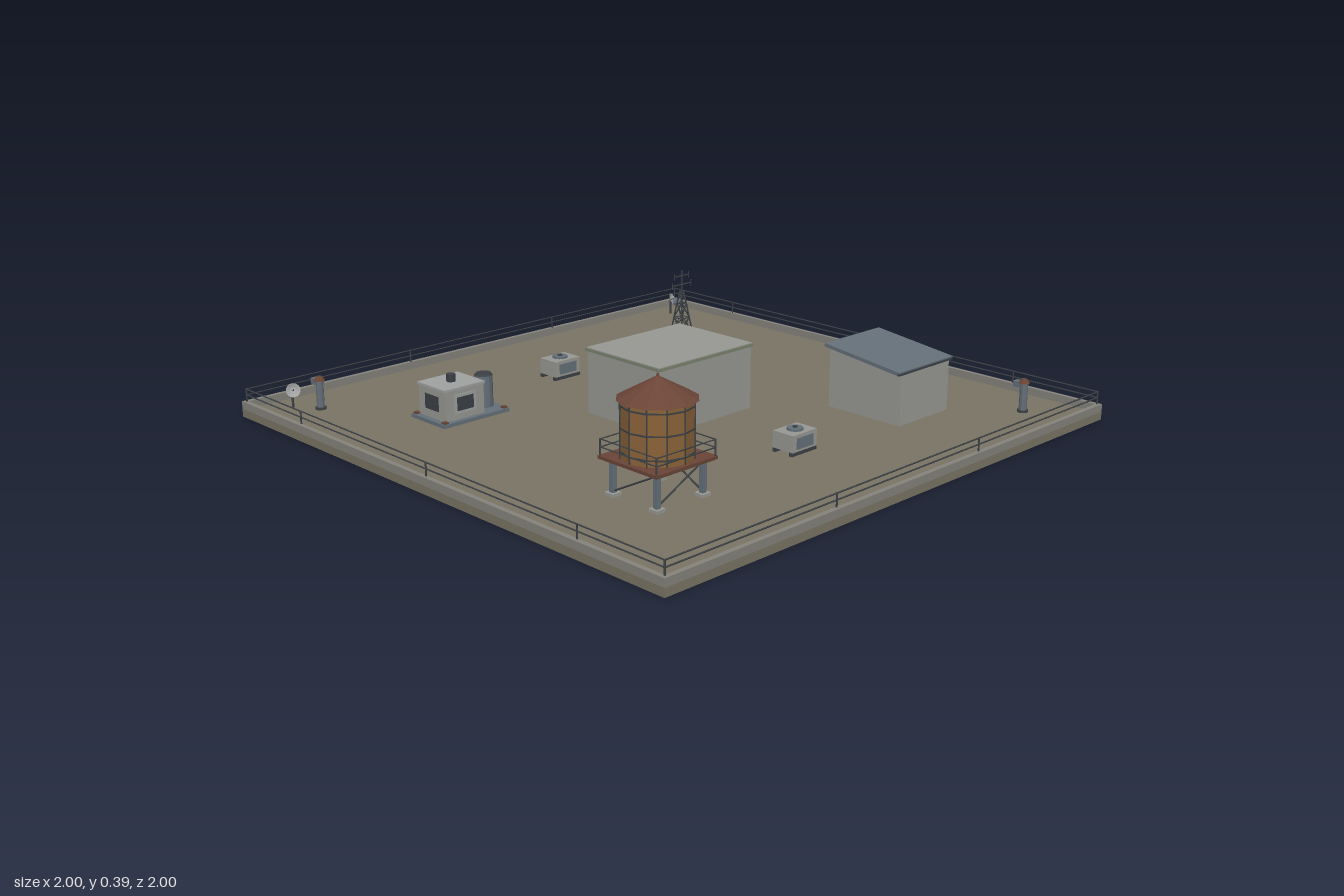
import * as THREE from 'three';

const mat = (name, color) => Object.assign(new THREE.MeshStandardMaterial({ color, flatShading: true, side: THREE.DoubleSide }), { name });

export function createModel() {
  const M = {
    deck: mat('deck gravel', 0x7a7464),
    concrete: mat('concrete grey', 0x989894),
    blue: mat('blue grey metal', 0x65707a),
    dark: mat('dark metal', 0x3c4146),
    wood: mat('tank wood', 0x8a6238),
    rust: mat('rusty red', 0x6b4537),
    trim: mat('green grey trim', 0x7b8470),
    steel: mat('pale steel', 0xa0a2a2),
    parapet: mat('parapet stone', 0x85837c),
  };
  const root = new THREE.Group();
  root.name = 'rooftop';
  const D = 0.027; // deck height

  const group = (name, x, y, z, parent = root) => {
    const g = new THREE.Group();
    g.name = name;
    g.position.set(x, y, z);
    parent.add(g);
    return g;
  };
  const add = (parent, name, geo, m, x, y, z) => {
    const mesh = new THREE.Mesh(geo, m);
    mesh.name = name;
    mesh.position.set(x, y, z);
    parent.add(mesh);
    return mesh;
  };
  // box given by its bottom centre
  const box = (p, name, m, w, h, d, x, y, z) => add(p, name, new THREE.BoxGeometry(w, h, d), m, x, y + h / 2, z);
  const cyl = (p, name, m, r0, r1, h, x, y, z, n = 12) => add(p, name, new THREE.CylinderGeometry(r1, r0, h, n), m, x, y + h / 2, z);
  // thin bar between two points
  const bar = (p, name, m, a, b, r) => {
    const A = new THREE.Vector3(...a), B = new THREE.Vector3(...b);
    const dir = B.clone().sub(A), mid = A.clone().add(B).multiplyScalar(0.5);
    const mesh = add(p, name, new THREE.CylinderGeometry(r, r, dir.length(), 5), m, mid.x, mid.y, mid.z);
    mesh.quaternion.setFromUnitVectors(new THREE.Vector3(0, 1, 0), dir.normalize());
  };
  const corners = [[1, 1], [1, -1], [-1, -1], [-1, 1]];

  // Slab, parapet and perimeter railing
  box(root, 'slab', M.deck, 2, D, 2, 0, 0, 0);
  for (const s of [-1, 1]) {
    box(root, 'parapet', M.parapet, 2, 0.026, 0.016, 0, D, s * 0.992);
    box(root, 'parapet', M.parapet, 0.016, 0.026, 1.968, s * 0.992, D, 0);
    for (const y of [0.075, 0.095]) {
      bar(root, 'rail', M.dark, [-0.988, y, s * 0.988], [0.988, y, s * 0.988], 0.0025);
      bar(root, 'rail', M.dark, [s * 0.988, y, -0.988], [s * 0.988, y, 0.988], 0.0025);
    }
    for (const t of [-0.988, -0.33, 0.33, 0.988]) bar(root, 'railPost', M.dark, [t, 0.05, s * 0.988], [t, 0.097, s * 0.988], 0.003);
    for (const t of [-0.66, 0, 0.66]) bar(root, 'railPost', M.dark, [s * 0.988, 0.05, t], [s * 0.988, 0.097, t], 0.003);
  }

  // Central building, door and window at the back
  const hall = group('centralBuilding', -0.003, D, -0.002);
  box(hall, 'walls', M.concrete, 0.416, 0.213, 0.334, 0, 0, 0);
  box(hall, 'roofTrim', M.trim, 0.43, 0.01, 0.346, 0, 0.212, 0);
  box(hall, 'roofTop', M.concrete, 0.424, 0.003, 0.34, 0, 0.221, 0);
  box(hall, 'door', M.blue, 0.12, 0.145, 0.006, 0.003, 0, -0.168);
  box(hall, 'window', M.blue, 0.1, 0.065, 0.006, 0.13, 0.075, -0.168);

  // Water tower
  const tower = group('waterTower', -0.57, 0, 0.53);
  const H = 0.09;
  box(tower, 'platform', M.rust, 0.24, 0.01, 0.24, 0, 0.137, 0);
  cyl(tower, 'tank', M.wood, 0.108, 0.108, 0.173, 0, 0.147, 0);
  cyl(tower, 'tankRoof', M.rust, 0.12, 0.004, 0.064, 0, 0.318, 0);
  cyl(tower, 'finial', M.rust, 0.006, 0.003, 0.012, 0, 0.378, 0, 6);
  for (const y of [0.165, 0.235, 0.3]) cyl(tower, 'hoop', M.dark, 0.11, 0.11, 0.005, 0, y, 0);
  for (let i = 0; i < 12; i++) {
    const a = i * Math.PI / 6;
    bar(tower, 'stave', M.dark, [0.109 * Math.sin(a), 0.147, 0.109 * Math.cos(a)], [0.109 * Math.sin(a), 0.32, 0.109 * Math.cos(a)], 0.0025);
  }
  corners.forEach(([x, z], i) => {
    const [x2, z2] = corners[(i + 1) % 4];
    box(tower, 'leg', M.blue, 0.016, 0.11, 0.016, x * H, D, z * H);
    box(tower, 'foot', M.concrete, 0.034, 0.01, 0.034, x * H, D, z * H);
    bar(tower, 'brace', M.dark, [x * H, 0.04, z * H], [x2 * H, 0.132, z2 * H], 0.003);
    bar(tower, 'platformPost', M.dark, [x * 0.115, 0.147, z * 0.115], [x * 0.115, 0.197, z * 0.115], 0.003);
    for (const y of [0.172, 0.196]) bar(tower, 'platformRail', M.dark, [x * 0.115, y, z * 0.115], [x2 * 0.115, y, z2 * 0.115], 0.002);
  });

  // Stair shed with a roof sloping down to the front
  const shed = group('stairShed', 0.53, 0, 0.48);
  const side = new THREE.Shape([[-0.15, D], [0.145, D], [0.145, 0.232], [-0.15, 0.197]].map(p => new THREE.Vector2(...p)));
  const wallGeo = new THREE.ExtrudeGeometry(side, { depth: 0.25, bevelEnabled: false }).translate(0, 0, -0.125).rotateY(Math.PI / 2);
  add(shed, 'walls', wallGeo, M.concrete, 0, 0, 0);
  const roof = add(shed, 'slopedRoof', new THREE.BoxGeometry(0.28, 0.012, 0.312), M.blue, 0, 0.221, -0.002);
  roof.rotation.x = 0.118;
  box(shed, 'gutter', M.dark, 0.28, 0.007, 0.007, 0, 0.197, 0.15);
  box(shed, 'window', M.blue, 0.006, 0.05, 0.07, 0.125, 0.135, 0.005);
  box(shed, 'doorFrame', M.dark, 0.112, 0.156, 0.006, 0, D, -0.145);
  box(shed, 'door', M.blue, 0.096, 0.148, 0.006, 0, D, -0.148);
  box(shed, 'doorLintel', M.dark, 0.12, 0.006, 0.02, 0, 0.188, -0.153);
  box(shed, 'doorHandle', M.steel, 0.008, 0.008, 0.006, 0.034, 0.1, -0.152);

  // Generator on its pad
  const gen = group('generator', -0.518, D, -0.452);
  box(gen, 'pad', M.blue, 0.266, 0.012, 0.176, 0, 0, 0);
  box(gen, 'housing', M.concrete, 0.155, 0.1, 0.14, -0.035, 0.012, 0);
  box(gen, 'housingLid', M.steel, 0.162, 0.008, 0.146, -0.035, 0.112, 0);
  cyl(gen, 'exhaust', M.dark, 0.015, 0.015, 0.025, -0.035, 0.12, 0);
  cyl(gen, 'fuelTank', M.blue, 0.03, 0.03, 0.108, 0.088, 0.012, 0.012, 14);
  cyl(gen, 'fuelTankCap', M.dark, 0.031, 0.026, 0.006, 0.088, 0.119, 0.012, 14);
  bar(gen, 'fuelPipe', M.dark, [0.04, 0.06, -0.03], [0.1, 0.06, -0.03], 0.005);
  for (const s of [-1, 1]) {
    box(gen, 'sidePanelFrame', M.steel, 0.085, 0.065, 0.006, -0.035, 0.032, s * 0.07);
    box(gen, 'sidePanel', M.dark, 0.065, 0.045, 0.006, -0.035, 0.042, s * 0.072);
  }
  box(gen, 'endGrille', M.dark, 0.006, 0.05, 0.07, -0.112, 0.04, 0);
  for (const [x, z] of corners) box(gen, 'anchor', M.rust, 0.016, 0.006, 0.016, x * 0.12, 0.012, z * 0.076);

  // Air conditioning units
  for (const z of [-0.553, 0.545]) {
    const ac = group('airConditioner', -0.003, D, z);
    box(ac, 'casing', M.concrete, 0.11, 0.055, 0.082, 0, 0.012, 0);
    for (const s of [-1, 1]) {
      box(ac, 'skid', M.dark, 0.114, 0.012, 0.012, 0, 0, s * 0.034);
      box(ac, 'grille', M.blue, 0.075, 0.036, 0.005, 0, 0.02, s * 0.041);
    }
    cyl(ac, 'fanRing', M.blue, 0.026, 0.026, 0.007, 0, 0.067, 0, 16);
    cyl(ac, 'fanHub', M.dark, 0.008, 0.008, 0.005, 0, 0.073, 0, 8);
  }

  // Lattice antenna mast
  const mast = group('antennaMast', 0.565, 0, -0.52);
  const levels = [[D, 0.036], [0.085, 0.028], [0.14, 0.02], [0.195, 0.012], [0.24, 0.005]];
  for (let k = 0; k < 4; k++) {
    const [y0, r0] = levels[k], [y1, r1] = levels[k + 1];
    corners.forEach(([x, z], i) => {
      const [u, w] = corners[(i + 1) % 4];
      bar(mast, 'mastLeg', M.dark, [x * r0, y0, z * r0], [x * r1, y1, z * r1], 0.003);
      bar(mast, 'mastBrace', M.dark, [x * r0, y0, z * r0], [u * r1, y1, w * r1], 0.002);
      bar(mast, 'mastBrace', M.dark, [u * r0, y0, w * r0], [x * r1, y1, z * r1], 0.002);
      bar(mast, 'mastRing', M.dark, [x * r1, y1, z * r1], [u * r1, y1, w * r1], 0.002);
    });
  }
  for (const [x, z] of corners) box(mast, 'mastFoot', M.dark, 0.016, 0.008, 0.016, x * 0.036, D, z * 0.036);
  bar(mast, 'mastTip', M.dark, [0, 0.235, 0], [0, 0.32, 0], 0.003);
  for (const [y, w] of [[0.265, 0.048], [0.298, 0.036]]) {
    bar(mast, 'crossArm', M.dark, [-w, y, 0], [w, y, 0], 0.003);
    for (const s of [-1, 1]) bar(mast, 'armTip', M.dark, [s * w, y - 0.012, 0], [s * w, y + 0.012, 0], 0.002);
  }
  const drum = cyl(mast, 'smallDish', M.blue, 0.016, 0.012, 0.01, 0, 0.19, -0.026, 10);
  drum.rotation.x = 1.2;

  // Vent pipes with a spout toward the back
  for (const s of [-1, 1]) {
    const vent = group('ventPipe', s * 0.815, D, s * 0.818);
    cyl(vent, 'pipe', M.blue, 0.013, 0.013, 0.098, 0, 0, 0, 10);
    cyl(vent, 'pipeBase', M.dark, 0.018, 0.018, 0.008, 0, 0, 0, 10);
    cyl(vent, 'pipeCap', M.rust, 0.019, 0.01, 0.014, 0, 0.098, 0, 10);
    box(vent, 'spout', M.blue, 0.022, 0.02, 0.03, 0, 0.082, -0.02);
    box(vent, 'spoutMouth', M.dark, 0.018, 0.016, 0.004, 0, 0.084, -0.035);
  }

  // Satellite dishes
  for (const s of [-1, 1]) {
    const dish = group('satelliteDish', s * 0.873, D, -0.89);
    bar(dish, 'stand', M.dark, [0, 0, -0.004], [0, 0.055, -0.004], 0.004);
    const head = group('dishHead', 0, 0.06, 0.002, dish);
    head.quaternion.setFromUnitVectors(new THREE.Vector3(0, 1, 0), new THREE.Vector3(s * 0.4, 0.45, 0.8).normalize());
    const profile = [[0, -0.004], [0.012, -0.002], [0.024, 0.005]].map(p => new THREE.Vector2(...p));
    add(head, 'reflector', new THREE.LatheGeometry(profile, 14), M.steel, 0, 0, 0);
    bar(head, 'feedArm', M.dark, [0, -0.003, 0], [0, 0.02, 0], 0.002);
  }
  return root;
}
